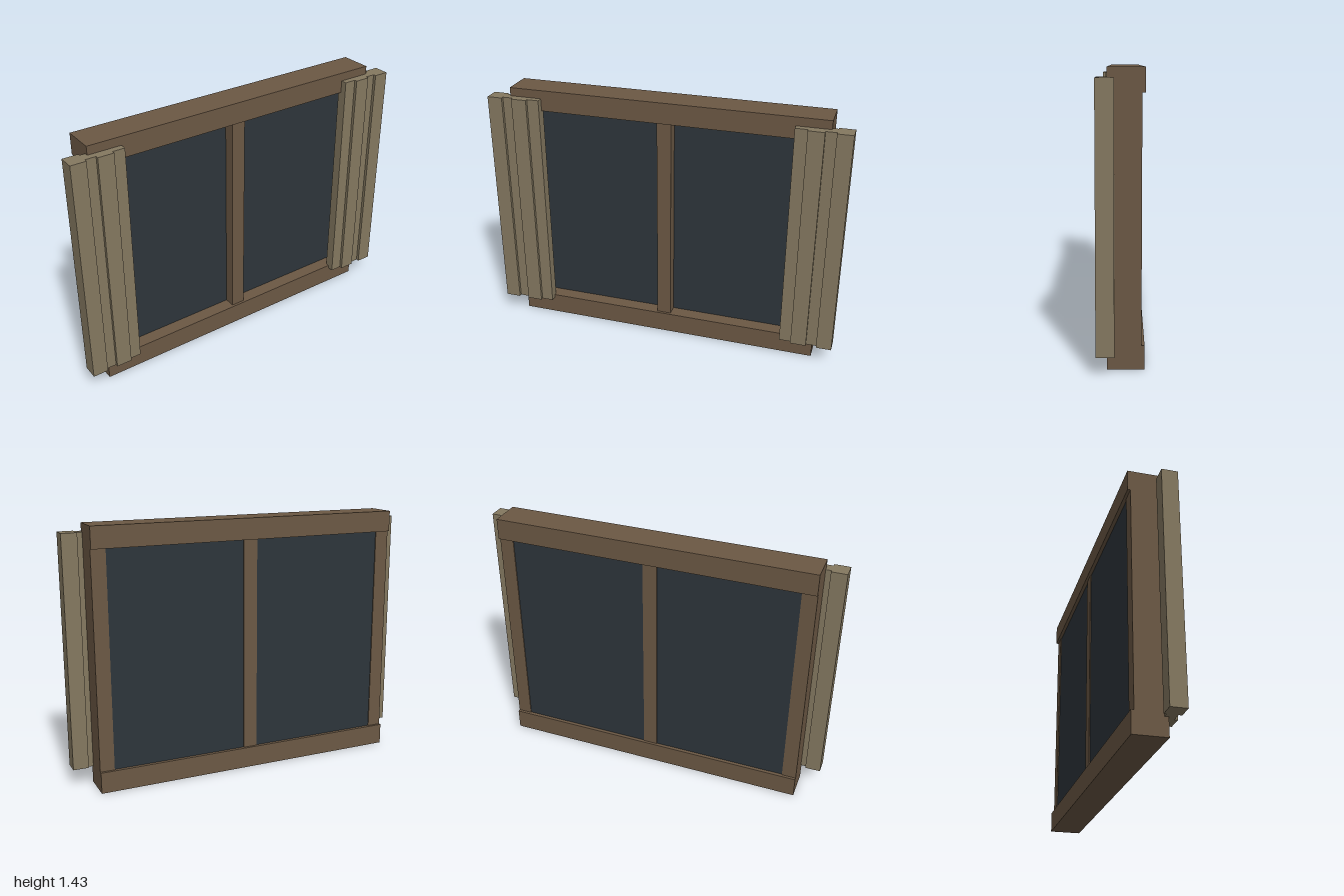
import * as THREE from 'three';

export function createModel() {
  const model = new THREE.Group();
  model.name = 'shutteredWindow';

  const material = (name, color) => {
    const m = new THREE.MeshStandardMaterial({ color });
    m.name = name;
    return m;
  };
  const frameWood = material('frame wood', 0x6b5844);
  const shutterWood = material('shutter wood', 0x847860);
  const darkGlass = material('dark glass', 0x2d353b);

  // Box given by its extents on each axis
  const box = (parent, name, mat, [x0, x1], [y0, y1], [z0, z1]) => {
    const mesh = new THREE.Mesh(new THREE.BoxGeometry(x1 - x0, y1 - y0, z1 - z0), mat);
    mesh.position.set((x0 + x1) / 2, (y0 + y1) / 2, (z0 + z1) / 2);
    mesh.name = name;
    parent.add(mesh);
  };

  // Sill and header
  const railZ = [-0.115, 0.063];
  box(model, 'sill', frameWood, [-0.886, 0.886], [0, 0.118], railZ);
  box(model, 'header', frameWood, [-0.886, 0.886], [1.313, 1.43], railZ);

  // Uprights between the rails
  const openY = [0.118, 1.313];
  const postZ = [-0.1, 0.048];
  box(model, 'rightPost', frameWood, [-0.886, -0.806], openY, postZ);
  box(model, 'mullion', frameWood, [-0.04, 0.04], openY, postZ);
  box(model, 'leftPost', frameWood, [0.806, 0.886], openY, postZ);

  // Glass panes
  box(model, 'rightPane', darkGlass, [-0.806, -0.04], openY, [-0.095, -0.015]);
  box(model, 'leftPane', darkGlass, [0.04, 0.806], openY, [-0.095, -0.015]);

  // Shutters: alternating shallow and deep boards, mirrored
  const edges = [0.703, 0.77, 0.857, 0.915, 1];
  for (const side of [-1, 1]) {
    const shutter = new THREE.Group();
    shutter.name = side < 0 ? 'rightShutter' : 'leftShutter';
    for (let i = 0; i < 4; i++) {
      const x = [side * edges[i], side * edges[i + 1]].sort((a, b) => a - b);
      const z = i % 2 ? [0.028, 0.115] : [0.042, 0.098];
      box(shutter, 'shutterBoard', shutterWood, x, [0.1, 1.383], z);
    }
    model.add(shutter);
  }
  return model;
}
